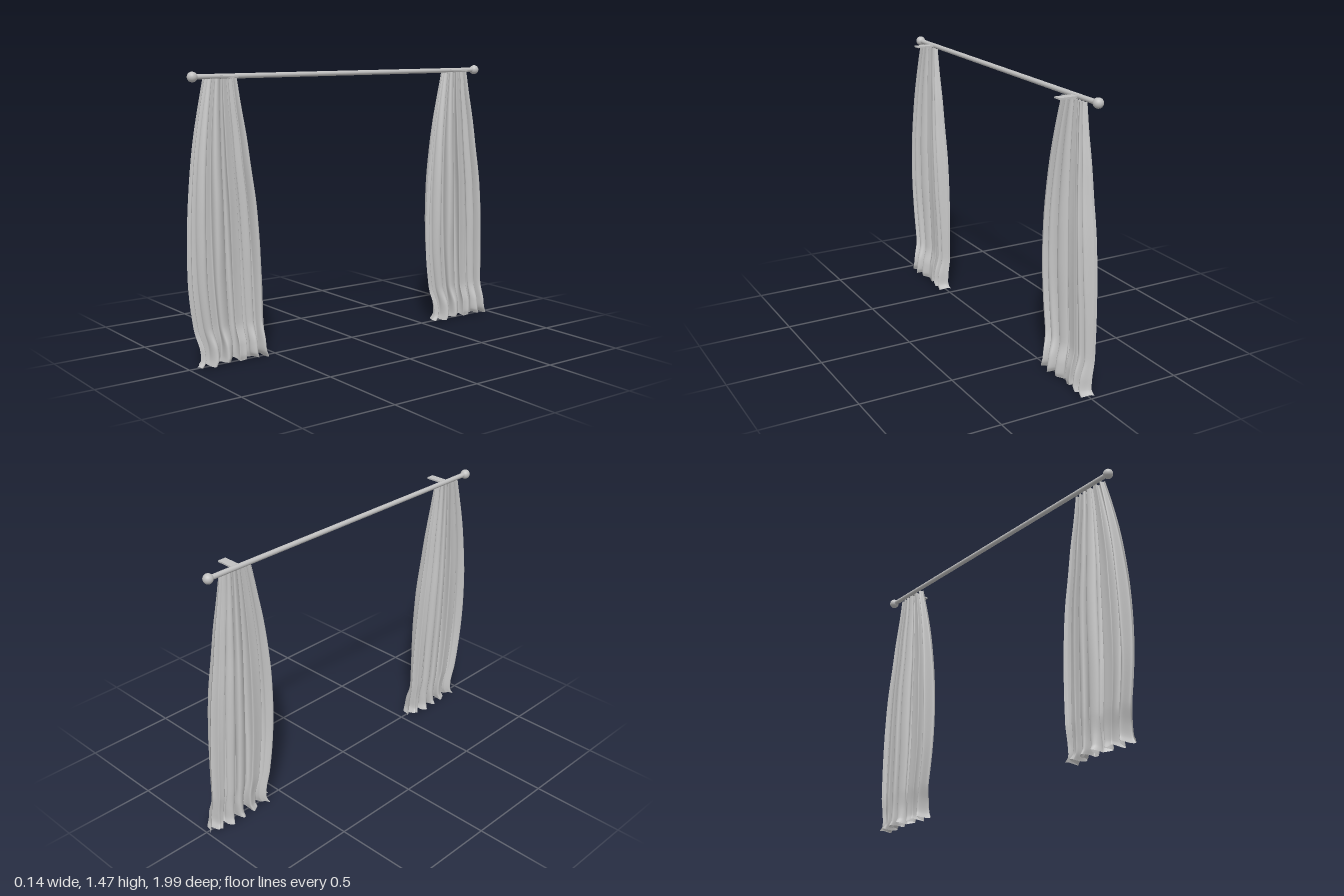
import * as THREE from 'three';

const fabric = new THREE.MeshStandardMaterial({ color: 0xc4c4c4, side: THREE.DoubleSide });
fabric.name = 'pale grey fabric';
const metal = new THREE.MeshStandardMaterial({ color: 0xc0c0c0 });
metal.name = 'grey metal';

const ROD_X = -0.045, ROD_Y = 1.44;

// Outline of one curtain, top to hem: height, outer z, inner z, back x, front x
const OUTLINE = [
  [1.435, 0.882, 0.682, -0.042, -0.018],
  [1.30, 0.915, 0.66, -0.046, -0.008],
  [1.15, 0.947, 0.632, -0.052, 0.002],
  [1.00, 0.97, 0.61, -0.056, 0.01],
  [0.80, 0.99, 0.58, -0.061, 0.018],
  [0.60, 0.998, 0.562, -0.059, 0.018],
  [0.40, 0.993, 0.552, -0.052, 0.011],
  [0.20, 0.967, 0.55, -0.047, 0.008],
  [0.10, 0.945, 0.55, -0.043, 0.035],
  [0.04, 0.945, 0.548, -0.045, 0.043],
  [0.005, 0.962, 0.533, -0.058, 0.04],
];
const edges = new THREE.CatmullRomCurve3(OUTLINE.map(r => new THREE.Vector3(r[1], r[2], r[0])));
const depths = new THREE.CatmullRomCurve3(OUTLINE.map(r => new THREE.Vector3(r[3], r[4], 0)));

// One hanging sheet, gathered at the rod, with uneven vertical folds
function curtainGeometry() {
  const geo = new THREE.PlaneGeometry(1, 1, 140, 60);
  const pos = geo.attributes.position, uv = geo.attributes.uv;
  for (let i = 0; i < pos.count; i++) {
    const u = uv.getX(i), v = 1 - uv.getY(i);
    const e = edges.getPoint(v), d = depths.getPoint(v);
    const phase = Math.PI * 2 * 5.5 * u + 0.9 * Math.sin(7 * u + 0.6) + 0.5 * Math.sin(4 * v) * Math.sin(9 * u);
    const fold = 0.78 * Math.sin(phase) + 0.22 * Math.sin(phase * 2.3 + 1 + v);
    const half = (d.y - d.x) / 2;
    // sideways swing gives the folds a rounded, overlapping shape
    const swing = 0.016 * Math.sin(2 * phase) * Math.sin(Math.PI * u) * (0.4 + 0.6 * Math.sin(Math.PI * v));
    // ripples along the hem
    const hem = 0.005 * Math.max(0, v - 0.9) * 10 * (1 + Math.sin(phase * 1.5));
    pos.setXYZ(i, (d.x + d.y) / 2 + half * fold, Math.max(0, e.z + hem - 0.005), THREE.MathUtils.lerp(e.x, e.y, u) + swing);
  }
  geo.computeVertexNormals();
  return geo;
}

export function createModel() {
  const model = new THREE.Group();
  model.name = 'curtainSet';
  const add = (name, geo, mat, x, y, z) => {
    const mesh = new THREE.Mesh(geo, mat);
    mesh.name = name;
    mesh.position.set(x, y, z);
    model.add(mesh);
    return mesh;
  };

  // Rod with a ball at each end
  const rod = add('rod', new THREE.CylinderGeometry(0.013, 0.013, 1.84, 24), metal, ROD_X, ROD_Y, 0.005);
  rod.rotation.x = Math.PI / 2;
  const ball = new THREE.SphereGeometry(0.026, 28, 18);
  add('leftFinial', ball, metal, ROD_X, ROD_Y, 0.925);
  add('rightFinial', ball, metal, ROD_X, ROD_Y, -0.915);

  // Flat wall brackets
  const bracket = new THREE.BoxGeometry(0.108, 0.008, 0.045);
  add('leftBracket', bracket, metal, 0.012, ROD_Y, 0.755);
  add('rightBracket', bracket, metal, 0.012, ROD_Y, -0.742);

  // Two matching curtains
  const sheet = curtainGeometry();
  add('leftCurtain', sheet, fabric, 0, 0, 0);
  add('rightCurtain', sheet, fabric, 0, 0, -1.525);
  return model;
}
